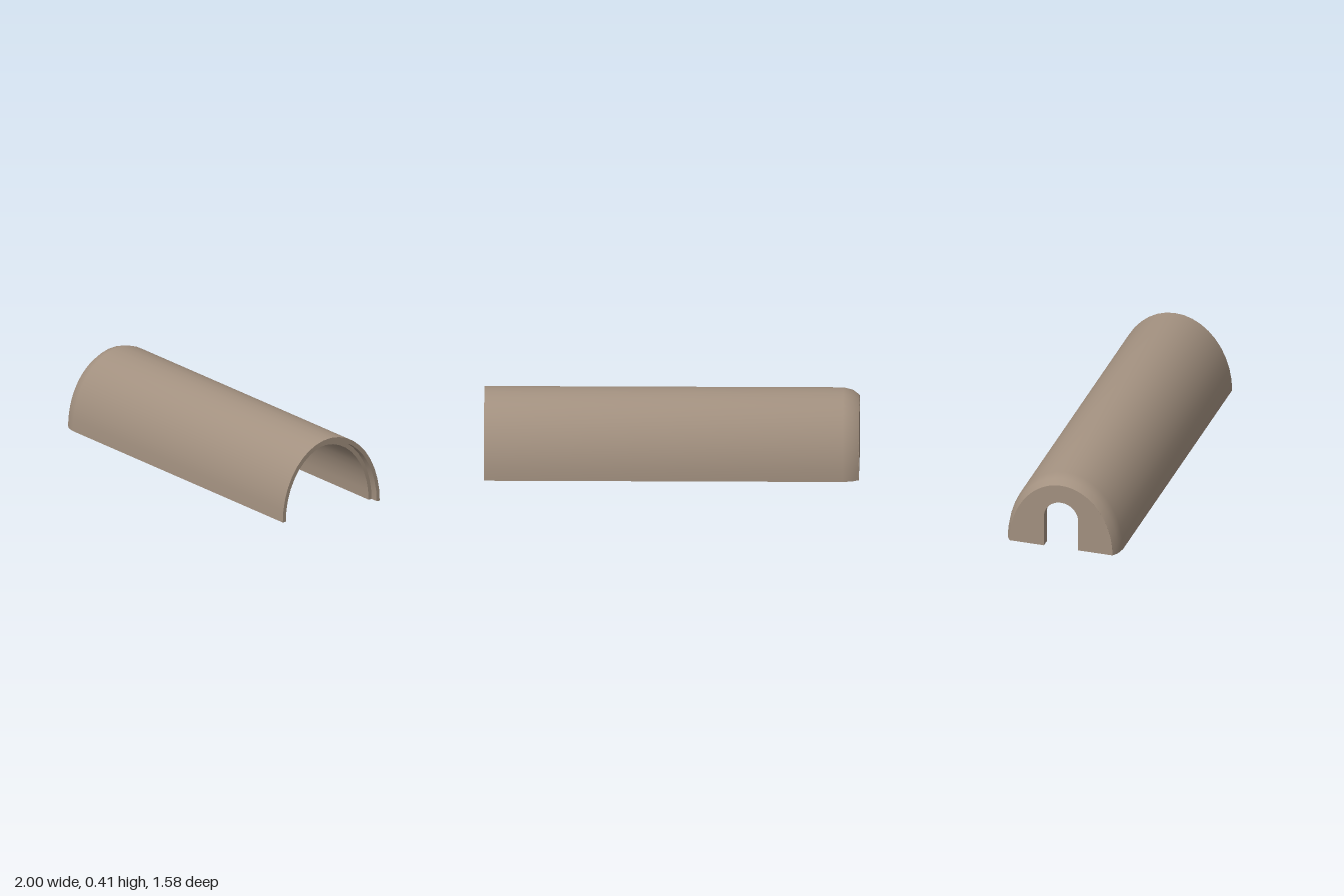
import * as THREE from 'three';
import { toCreasedNormals } from 'three/addons/utils/BufferGeometryUtils.js';

const STRETCH = 0.412 / 0.318; // the arch is taller than a half circle
const SEGMENTS = 20;
const END = -1.015;            // closed end along the tunnel axis
const END_R = 0.287;

// Wall profile as [half width, position along the axis], outside then inside
const PROFILE = [
  [END_R, END], [0.308, -0.98], [0.318, -0.93], [0.318, 0.976],
  [0.298, 0.976], [0.298, 0.93], [0.278, 0.93], [0.278, -0.9], [0.24, -0.965],
];

export function createModel() {
  const tan = new THREE.MeshStandardMaterial({ color: 0xa39180 });
  tan.name = 'warm tan';
  const group = new THREE.Group();
  group.name = 'archedCover';
  const add = (name, geometry) => {
    const mesh = new THREE.Mesh(geometry, tan);
    mesh.name = name;
    group.add(mesh);
  };

  // Arched shell: half a lathe laid along x, with a stepped lip at the open end
  const shell = new THREE.LatheGeometry(
    PROFILE.map(([r, u]) => new THREE.Vector2(r, u)), SEGMENTS, Math.PI, Math.PI);
  shell.rotateZ(-Math.PI / 2);
  shell.scale(1, STRETCH, 1);
  add('archShell', toCreasedNormals(shell, Math.PI / 6));

  // Flat undersides of both walls
  for (const side of [1, -1]) {
    const strip = new THREE.ShapeGeometry(
      new THREE.Shape(PROFILE.map(([r, u]) => new THREE.Vector2(u, side * r))));
    strip.rotateX(Math.PI / 2);
    add(side > 0 ? 'leftWallFoot' : 'rightWallFoot', strip);
  }

  // End wall with a round-topped slot
  const slot = 0.095, slotStraight = 0.175;
  const wall = new THREE.Shape();
  wall.moveTo(slot, 0);
  wall.lineTo(END_R, 0);
  wall.absellipse(0, 0, END_R, END_R * STRETCH, 0, Math.PI, false, 0);
  wall.lineTo(-slot, 0);
  wall.lineTo(-slot, slotStraight);
  wall.absarc(0, slotStraight, slot, Math.PI, 0, true);
  wall.lineTo(slot, 0);
  const plate = new THREE.ExtrudeGeometry(wall, { depth: 0.05, bevelEnabled: false, curveSegments: SEGMENTS });
  plate.rotateY(Math.PI / 2);
  plate.translate(END, 0, 0);
  add('endWall', toCreasedNormals(plate, Math.PI / 6));

  // Turn the tunnel so the open end points front left
  group.rotation.y = -THREE.MathUtils.degToRad(32.7);
  group.position.set(0.004, 0, -0.006);
  const model = new THREE.Group();
  model.add(group);
  return model;
}
